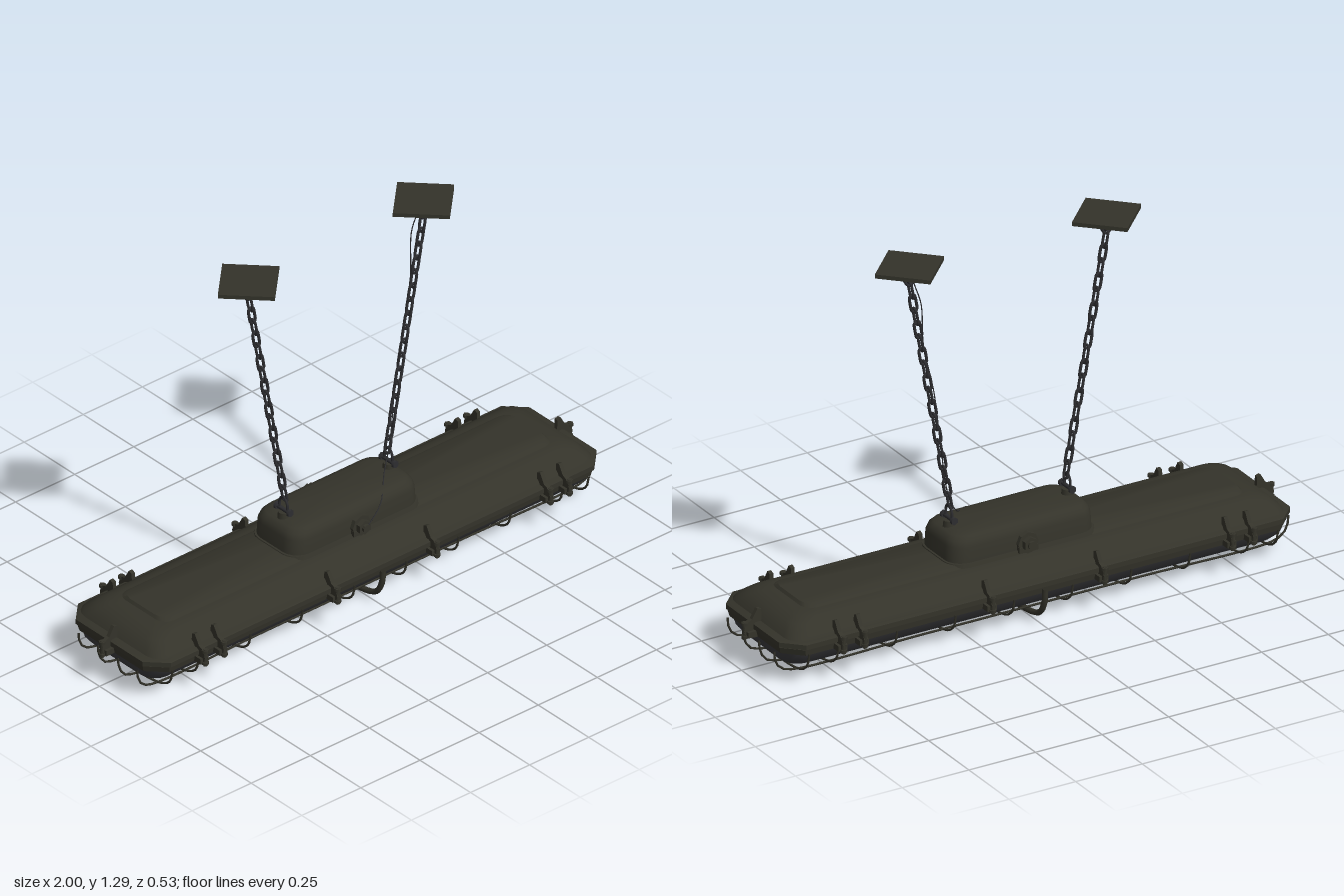
import * as THREE from 'three';
import { toCreasedNormals } from 'three/addons/utils/BufferGeometryUtils.js';

const V = (x, y, z) => new THREE.Vector3(x, y, z);

function material(name, color) {
  const m = new THREE.MeshStandardMaterial({ color });
  m.name = name;
  return m;
}

// Lofts rounded rectangles [y, halfX, halfZ, corner] from bottom to top, with both ends capped.
function loft(rings, cornerSteps, crease = 0.6) {
  const pos = [], idx = [], n = 4 * (cornerSteps + 1);
  for (const [y, hx, hz, c] of rings) {
    for (let q = 0; q < 4; q++) {
      const sx = q === 0 || q === 3 ? 1 : -1, sz = q < 2 ? -1 : 1;
      for (let s = 0; s <= cornerSteps; s++) {
        const a = (q + s / cornerSteps) * Math.PI / 2;
        pos.push(sx * (hx - c) + c * Math.cos(a), y, sz * (hz - c) - c * Math.sin(a));
      }
    }
  }
  const last = rings.length - 1, base = rings.length * n;
  pos.push(0, rings[0][0], 0, 0, rings[last][0], 0);
  for (let i = 0; i < n; i++) {
    const j = (i + 1) % n;
    for (let r = 0; r < last; r++) {
      const a = r * n + i, b = r * n + j;
      idx.push(a, b, b + n, a, b + n, a + n);
    }
    idx.push(base, j, i, base + 1, last * n + i, last * n + j);
  }
  const g = new THREE.BufferGeometry();
  g.setAttribute('position', new THREE.Float32BufferAttribute(pos, 3));
  g.setIndex(idx);
  return toCreasedNormals(g, crease);
}

function tube(points, radius, steps = 32, sides = 6, closed = false, tension = 0.5) {
  const curve = new THREE.CatmullRomCurve3(points, closed, closed ? 'catmullrom' : 'centripetal', tension);
  return new THREE.TubeGeometry(curve, steps, radius, sides, closed);
}

export function createModel() {
  const root = new THREE.Group();
  root.name = 'hangingLamp';
  const paint = material('olive black paint', 0x34332a);
  const glass = material('smoked grey glass', 0x3a3a3d);
  const steel = material('dark chain steel', 0x2d2d30);

  function add(name, geometry, mat, parent = root, x = 0, y = 0, z = 0) {
    const m = new THREE.Mesh(geometry, mat);
    m.name = name;
    m.position.set(x, y, z);
    parent.add(m);
    return m;
  }

  // Housing: lower and upper flange, sloping lid, raised top panel
  add('lowerFlange', loft([[0.115, 0.95, 0.218, 0.06], [0.137, 0.955, 0.222, 0.06]], 1), paint);
  add('upperFlange', loft([[0.137, 0.945, 0.215, 0.06], [0.141, 0.96, 0.23, 0.065],
    [0.158, 0.96, 0.23, 0.065], [0.163, 0.95, 0.22, 0.06]], 1), paint);
  add('lid', loft([[0.16, 0.935, 0.212, 0.06], [0.175, 0.925, 0.203, 0.06], [0.2, 0.9, 0.172, 0.06],
    [0.213, 0.87, 0.15, 0.055], [0.22, 0.84, 0.125, 0.05]], 4), paint);
  add('topPanel', loft([[0.215, 0.83, 0.125, 0.04], [0.23, 0.82, 0.1, 0.04]], 3), paint);

  // Glass cover
  add('glassCover', loft([[0.04, 0.8, 0.06, 0.05], [0.046, 0.88, 0.125, 0.06], [0.06, 0.915, 0.165, 0.06],
    [0.085, 0.935, 0.19, 0.06], [0.116, 0.94, 0.203, 0.06]], 4, 1.2), glass);

  // Gear box on the lid
  add('gearBox', loft([[0.215, 0.272, 0.115, 0.06], [0.285, 0.268, 0.113, 0.06], [0.305, 0.262, 0.107, 0.06],
    [0.319, 0.248, 0.095, 0.055], [0.325, 0.225, 0.075, 0.045]], 5, 0.9), paint);
  add('gearBoxFoot', loft([[0.215, 0.283, 0.125, 0.065], [0.233, 0.278, 0.12, 0.063]], 5), paint);

  // Cable glands on the gear box
  for (const s of [1, -1]) {
    const gland = new THREE.Group();
    gland.name = s > 0 ? 'frontGland' : 'backGland';
    for (const [r, len, z, sides] of [[0.038, 0.02, 0.118, 8], [0.026, 0.022, 0.134, 6], [0.014, 0.012, 0.148, 10]]) {
      const g = new THREE.CylinderGeometry(r, r, len, sides).rotateX(Math.PI / 2);
      add('glandRing', toCreasedNormals(g, 0.5), paint, gland, 0, 0.256, z);
    }
    add('glandLug', new THREE.BoxGeometry(0.07, 0.02, 0.018), paint, gland, 0, 0.236, 0.122);
    if (s < 0) gland.rotation.y = Math.PI;
    root.add(gland);
  }

  // Latches around the rim: hooked fin, hinge pin and nuts
  const finShape = new THREE.Shape([[-0.02, 0.108], [0.022, 0.112], [0.03, 0.14], [0.022, 0.166], [0, 0.175],
    [-0.02, 0.21], [-0.034, 0.205], [-0.036, 0.165]].map(([a, b]) => new THREE.Vector2(a, b)));
  const finGeo = new THREE.ExtrudeGeometry(finShape, { depth: 0.014, bevelEnabled: false })
    .translate(0, 0, -0.007).rotateY(-Math.PI / 2);
  const pinGeo = new THREE.CylinderGeometry(0.007, 0.007, 0.062, 8);
  const nutGeo = new THREE.CylinderGeometry(0.012, 0.012, 0.01, 6);
  const lugGeo = new THREE.BoxGeometry(0.034, 0.02, 0.04);
  function latch(x, z, angle) {
    const g = new THREE.Group();
    g.name = 'latch';
    add('latchFin', finGeo, paint, g);
    add('latchLug', lugGeo, paint, g, 0, 0.126, 0);
    add('latchPin', pinGeo, paint, g, 0, 0.139, 0.024);
    for (const y of [0.118, 0.163]) add('latchNut', nutGeo, paint, g, 0, y, 0.024);
    g.position.set(x, 0, z);
    g.rotation.y = angle;
    root.add(g);
  }
  for (const x of [-0.77, -0.69, -0.21, 0.21, 0.69, 0.77]) {
    latch(x, 0.23, 0);
    latch(x, -0.23, Math.PI);
  }
  latch(0.965, 0, Math.PI / 2);
  latch(-0.965, 0, -Math.PI / 2);

  // Wire cage: cross wires, long rails and a heavier middle hoop
  const cross = [[0.222, 0.12], [0.21, 0.075], [0.185, 0.052], [0.14, 0.038], [0.05, 0.031]];
  const mirrored = (p, x) => [...p.map(([z, y]) => V(x, y, z)), ...p.slice().reverse().map(([z, y]) => V(x, y, -z))];
  for (const x of [-0.88, -0.77, -0.55, -0.33, -0.11, 0.11, 0.33, 0.55, 0.77, 0.88]) {
    add('cageCrossWire', tube(mirrored(cross, x), 0.004, 28, 5), paint);
  }
  for (const [z, y] of [[0.05, 0.031], [0.145, 0.039]]) {
    for (const s of [1, -1]) {
      const half = [[0.965, 0.12], [0.96, 0.08], [0.94, y + 0.015], [0.9, y], [0.4, y]];
      const pts = [...half.map(([x, h]) => V(x, h, s * z)), ...half.slice().reverse().map(([x, h]) => V(-x, h, s * z))];
      add('cageRail', tube(pts, 0.004, 70, 5), paint);
    }
  }
  const hoop = [[0.232, 0.135], [0.228, 0.09], [0.205, 0.045], [0.165, 0.024], [0.05, 0.011]];
  add('middleHoop', tube(mirrored(hoop, 0), 0.01, 48, 8), paint);

  // Two chains with ceiling plates and eye brackets
  const linkPts = [[0.011, -0.02], [0.011, 0.02], [0.007, 0.028], [0, 0.031], [-0.007, 0.028],
    [-0.011, 0.02], [-0.011, -0.02], [-0.007, -0.028], [0, -0.031], [0.007, -0.028]].map(([x, y]) => V(x, y, 0));
  const linkGeo = tube(linkPts, 0.005, 24, 6, true);
  const eyePts = [[-0.018, 0], [-0.018, 0.03], [0, 0.05], [0.018, 0.03], [0.018, 0]];
  const count = 17;
  for (const s of [1, -1]) {
    const hanger = new THREE.Group();
    hanger.name = s > 0 ? 'leftHanger' : 'rightHanger';
    root.add(hanger);

    const plate = new THREE.BoxGeometry(0.184, 0.014, 0.184).rotateY(Math.PI / 4);
    add('ceilingPlate', plate, paint, hanger, s * 0.37, 1.283, 0);
    const pad = new THREE.BoxGeometry(0.096, 0.014, 0.096).rotateY(Math.PI / 4);
    add('ceilingPad', pad, paint, hanger, s * 0.37, 1.271, 0);
    add('ceilingEye', tube(eyePts.map(([x, y]) => V(x, -y, 0)), 0.005, 20), steel, hanger, s * 0.37, 1.267, 0);

    add('eyeBase', new THREE.CylinderGeometry(0.018, 0.022, 0.035, 10), paint, hanger, s * 0.222, 0.325, 0);
    add('eyeBolt', new THREE.CylinderGeometry(0.007, 0.007, 0.07, 8).rotateX(Math.PI / 2), steel, hanger, s * 0.222, 0.35, 0);
    for (const z of [-0.032, 0.032]) {
      add('eyeBoltNut', new THREE.CylinderGeometry(0.013, 0.013, 0.01, 6).rotateX(Math.PI / 2), steel, hanger, s * 0.222, 0.35, z);
    }
    add('lowerEye', tube(eyePts.map(([z, y]) => V(0, y, z)), 0.005, 20), steel, hanger, s * 0.222, 0.348, 0);

    const low = V(s * 0.22, 0.41, 0), high = V(s * 0.365, 1.2, 0);
    const tilt = -Math.atan2(high.x - low.x, high.y - low.y);
    for (let i = 0; i < count; i++) {
      const link = add('chainLink', linkGeo, steel, hanger);
      link.position.lerpVectors(low, high, i / (count - 1));
      link.rotation.set(0, i % 2 ? 0 : Math.PI / 2, tilt, 'ZYX');
    }
  }

  // Loose supply cable following the left chain
  add('supplyCable', tube([V(0, 0.256, 0.15), V(0.08, 0.3, 0.125), V(0.17, 0.345, 0.04), V(0.22, 0.43, 0.01),
    V(0.26, 0.62, -0.012), V(0.27, 0.8, 0.012), V(0.325, 1.0, -0.012), V(0.345, 1.16, -0.03),
    V(0.365, 1.23, -0.022), V(0.37, 1.268, -0.01)], 0.002, 60, 5), steel);

  return root;
}
